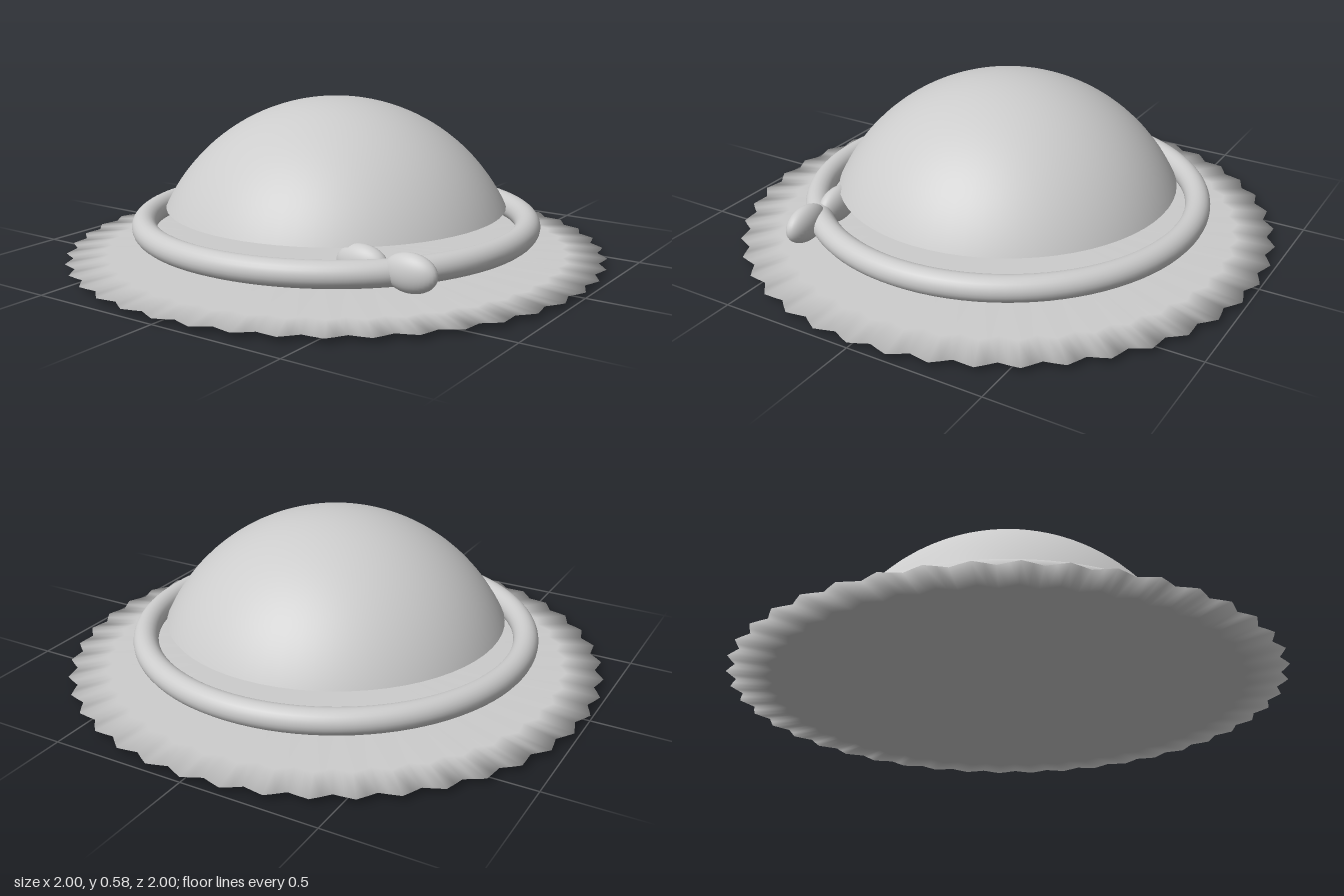
import * as THREE from 'three';
import { mergeVertices } from 'three/addons/utils/BufferGeometryUtils.js';

// Thin lens-shaped disc with a fluted rim
function flutedDisc(waves, halfHeight) {
  const geo = new THREE.SphereGeometry(1, waves * 4, 6);
  geo.deleteAttribute('normal');
  geo.deleteAttribute('uv');
  const pos = geo.attributes.position;
  for (let i = 0; i < pos.count; i++) {
    const x = pos.getX(i), y = pos.getY(i), z = pos.getZ(i);
    const scallop = 0.985 + 0.015 * Math.cos(waves * Math.atan2(z, x));
    pos.setXYZ(i, x * scallop, y * halfHeight, z * scallop);
  }
  const merged = mergeVertices(geo, 1e-5);
  merged.computeVertexNormals();
  return merged;
}

export function createModel() {
  const model = new THREE.Group();
  const grey = new THREE.MeshStandardMaterial({ color: 0xcccccc });
  grey.name = 'light grey';
  grey.side = THREE.DoubleSide;

  const add = (name, geometry, x, y, z) => {
    const mesh = new THREE.Mesh(geometry, grey);
    mesh.name = name;
    mesh.position.set(x, y, z);
    model.add(mesh);
    return mesh;
  };

  // Brim
  add('brim', flutedDisc(44, 0.02), 0, 0.02, 0);

  // Crown: open cap of a sphere
  const R = 0.7;
  const capAngle = Math.asin(0.63 / R);
  add('crown', new THREE.SphereGeometry(R, 64, 24, 0, Math.PI * 2, 0, capAngle), 0, 0.585 - R, 0);

  // Band floating around the crown
  const band = new THREE.TorusGeometry(0.711, 0.046, 24, 96);
  band.rotateX(Math.PI / 2);
  add('band', band, 0, 0.126, 0);

  // Bow: two flattened loops meeting end to end
  [['bowRightLoop', 0.43], ['bowLeftLoop', 0.61]].forEach(([name, x]) => {
    add(name, new THREE.SphereGeometry(1, 32, 20), x, 0.139, 0.473).scale.set(0.097, 0.066, 0.045);
  });

  return model;
}
